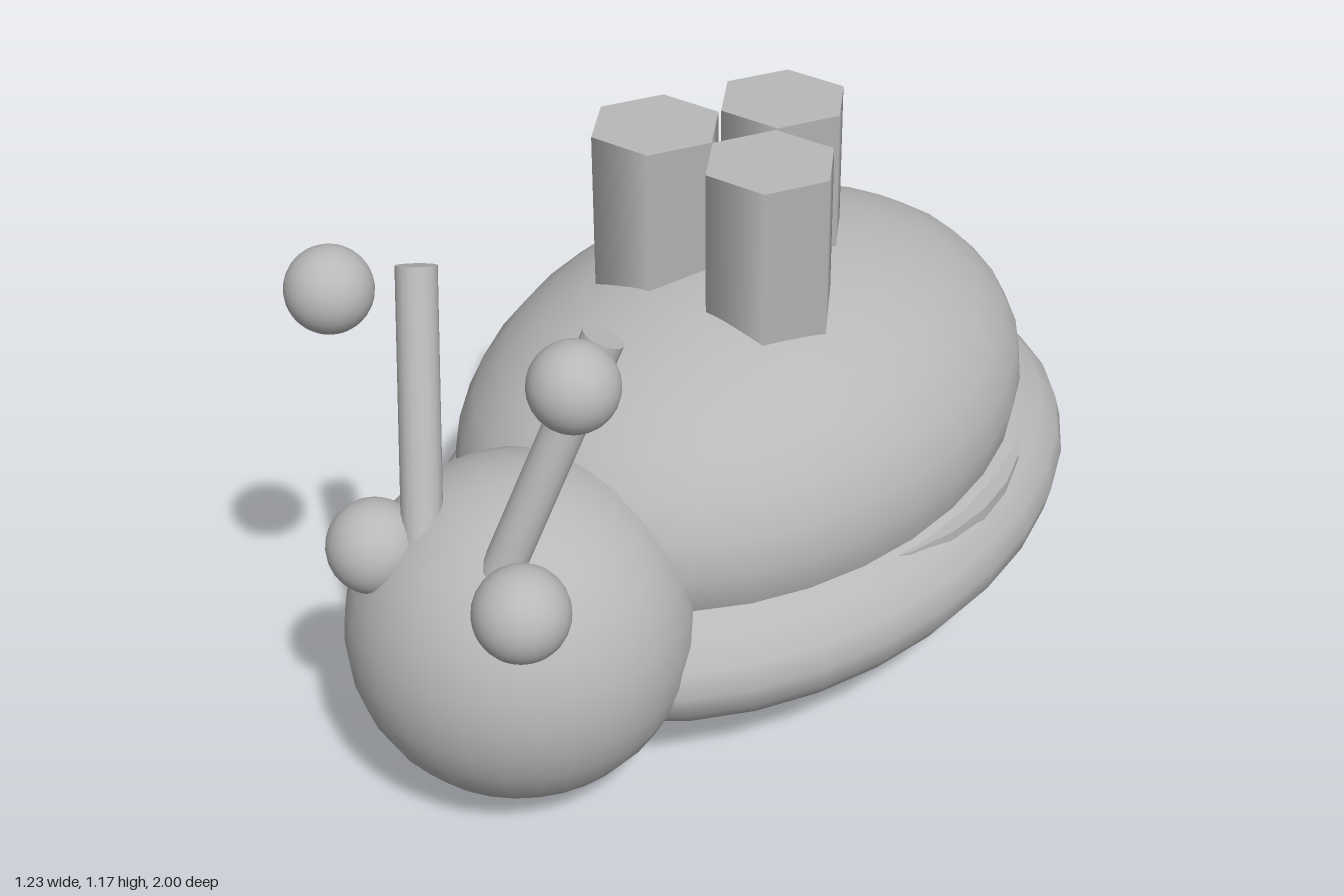
import * as THREE from 'three';

export function createModel() {
  const model = new THREE.Group();
  model.name = 'snail';
  const grey = new THREE.MeshStandardMaterial({ color: 0xb8b8b8 });
  grey.name = 'grey';

  const add = (name, geometry, x, y, z) => {
    const mesh = new THREE.Mesh(geometry, grey);
    mesh.name = name;
    mesh.position.set(x, y, z);
    model.add(mesh);
    return mesh;
  };
  const ellipsoid = (rx, ry, rz) => new THREE.SphereGeometry(1, 32, 16).scale(rx, ry, rz);

  // Foot, shell and head
  add('body', ellipsoid(0.615, 0.263, 0.86), 0, 0.265, -0.14);
  add('shell', ellipsoid(0.535, 0.38, 0.73), 0, 0.48, -0.115);
  add('head', ellipsoid(0.345, 0.345, 0.345), 0, 0.356, 0.655);

  // Disc between shell and body, just breaking the surface at the sides
  add('shellBase', new THREE.CylinderGeometry(0.57, 0.57, 0.1, 32), 0, 0.34, -0.165);

  // Three hexagonal chimneys, corners pointing along x
  for (const [x, z] of [[0, -0.238], [0.14, 0.01], [-0.14, 0.01]]) {
    const hex = new THREE.CylinderGeometry(0.139, 0.139, 0.44, 6).rotateY(Math.PI / 6);
    add('chimney', hex, x, 0.92, z);
  }

  // Eyes, feelers and floating feeler balls
  for (const [side, s] of [['left', 1], ['right', -1]]) {
    add(side + 'Eye', ellipsoid(0.093, 0.093, 0.093), s * 0.18, 0.582, 0.857);
    add(side + 'FeelerBall', ellipsoid(0.083, 0.083, 0.083), s * 0.284, 1.087, 0.81);

    const base = new THREE.Vector3(s * 0.08, 0.55, 0.835);
    const tip = new THREE.Vector3(s * 0.22, 1.082, 0.645);
    const axis = tip.clone().sub(base);
    const mid = base.clone().add(tip).multiplyScalar(0.5);
    const feeler = add(side + 'Feeler', new THREE.CylinderGeometry(0.04, 0.04, axis.length(), 16), mid.x, mid.y, mid.z);
    feeler.quaternion.setFromUnitVectors(new THREE.Vector3(0, 1, 0), axis.normalize());
  }
  return model;
}
